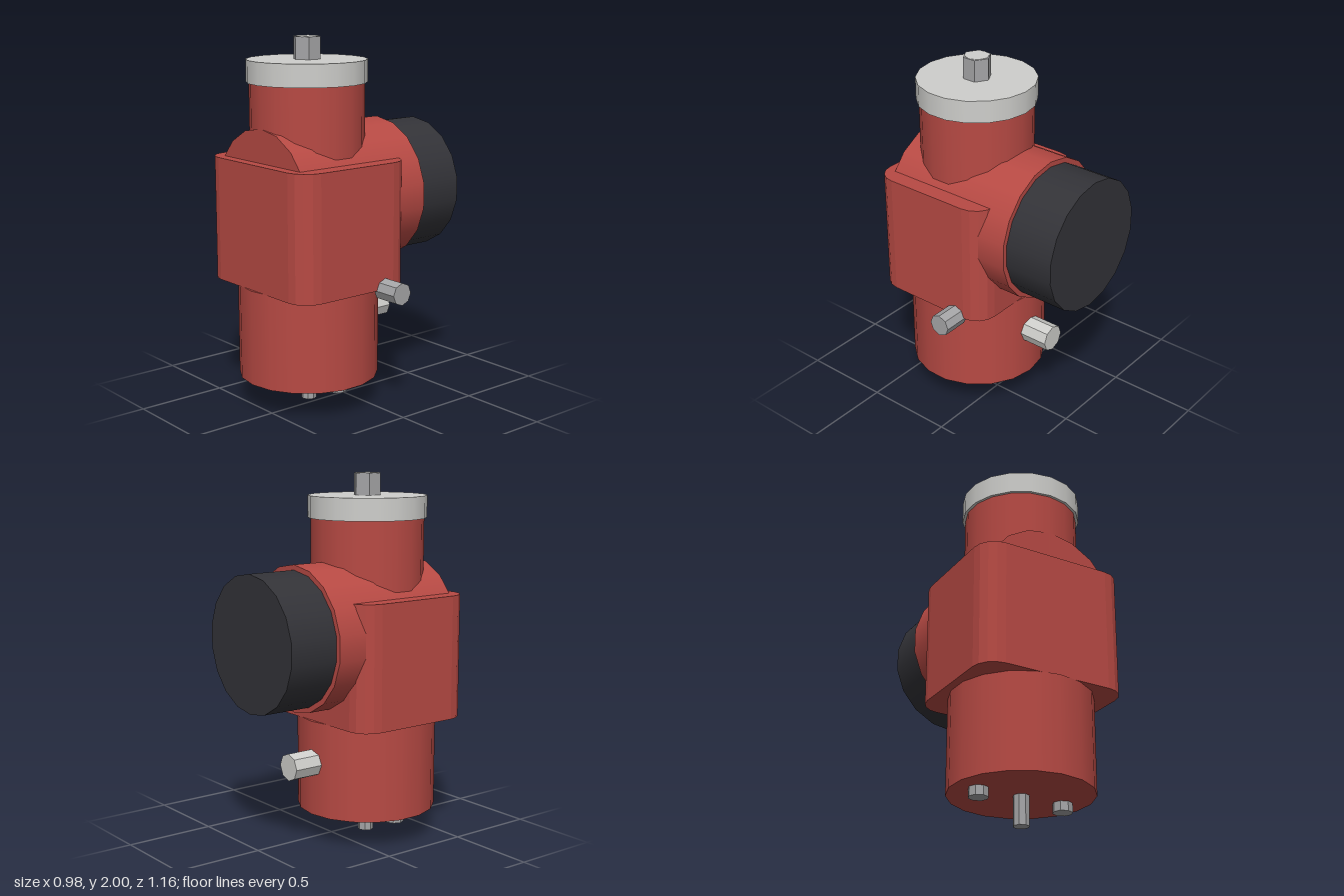
import * as THREE from 'three';

const CX = -0.067, CZ = 0.193; // main vertical axis
const BARREL_Y = 1.141;        // height of the horizontal barrel axis

const paint = (name, color) => {
  const m = new THREE.MeshStandardMaterial({ color });
  m.name = name;
  return m;
};

export function createModel() {
  const model = new THREE.Group();
  model.name = 'valveBody';
  const red = paint('red enamel', 0xb84a44);
  const black = paint('black plastic', 0x333338);
  const light = paint('light grey metal', 0xcfcfcc);
  const steel = paint('steel', 0xa6a6a8);
  const flatSteel = (geo) => geo.toNonIndexed();

  const add = (name, geo, mat, x, y, z) => {
    const mesh = new THREE.Mesh(geo, mat);
    mesh.name = name;
    mesh.position.set(x, y, z);
    model.add(mesh);
    return mesh;
  };

  // Cylinder between two positions along an axis; few-sided ones get faceted normals
  const rod = (name, mat, axis, from, to, r, sides, a, b) => {
    let geo = new THREE.CylinderGeometry(r, r, to - from, sides);
    if (sides < 10) {
      geo = flatSteel(geo);
      geo.computeVertexNormals();
    }
    if (axis === 'x') geo.rotateZ(-Math.PI / 2);
    if (axis === 'z') geo.rotateX(Math.PI / 2);
    const mid = (from + to) / 2;
    const p = { x: [mid, a, b], y: [a, mid, b], z: [a, b, mid] }[axis];
    return add(name, geo, mat, ...p);
  };

  // Vertical body
  rod('lowerBody', red, 'y', 0.16, 0.682, 0.383, 18, CX, CZ);
  rod('neck', red, 'y', 1.1, 1.76, 0.308, 18, CX, CZ);
  rod('topFlange', light, 'y', 1.76, 1.88, 0.323, 18, CX, CZ);
  rod('topNut', steel, 'y', 1.88, 1.998, 0.077, 6, CX, CZ - 0.002);
  rod('topStem', light, 'y', 1.88, 2.0, 0.066, 8, CX, CZ - 0.002);

  // Block housing with rounded vertical corners
  const w = 0.4225, d = 0.365, r = 0.12;
  const s = new THREE.Shape();
  s.moveTo(w, -d + r);
  [[1, 1, 0], [-1, 1, 1], [-1, -1, 2], [1, -1, 3]].forEach(([sx, sy, q]) => {
    for (let i = 0; i <= 4; i++) {
      const t = (q + i / 4) * Math.PI / 2;
      s.lineTo(sx * (w - r) + r * Math.cos(t), sy * (d - r) + r * Math.sin(t));
    }
  });
  const block = new THREE.ExtrudeGeometry(s, { depth: 0.675, bevelEnabled: false });
  block.rotateX(-Math.PI / 2);
  add('blockHousing', block, red, CX, 0.68, 0.195);

  // Horizontal barrel and its rear cap
  rod('barrel', red, 'z', -0.3, 0.5, 0.395, 18, CX, BARREL_Y);
  rod('rearCap', black, 'z', -0.58, -0.29, 0.367, 18, CX, BARREL_Y);

  // Side and rear connectors
  rod('sideConnector', steel, 'x', 0.335, 0.487, 0.061, 8, 0.68, 0.005);
  rod('rearConnector', light, 'z', -0.343, -0.12, 0.075, 8, CX, 0.45);

  // Underside pins
  rod('centrePin', steel, 'y', 0, 0.18, 0.043, 8, CX, CZ);
  for (const side of [-1, 1]) {
    rod('sidePin', steel, 'y', 0.11, 0.18, 0.053, 8, CX + side * 0.246, CZ);
  }
  return model;
}
